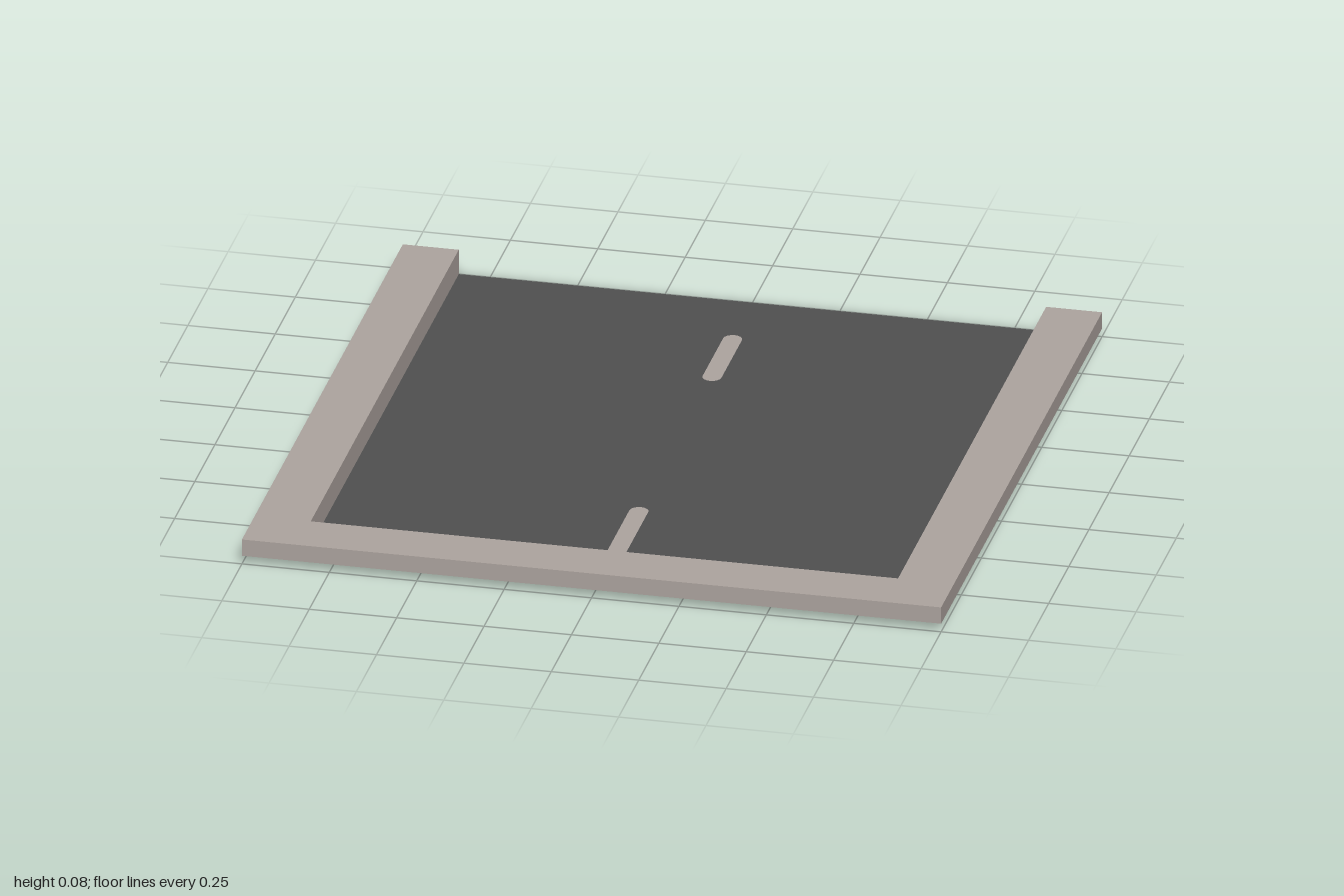
import * as THREE from 'three';

const INNER = 0.84, TOP = 0.075, LIP = 0.025;

// Flat horizontal sheet from a shape drawn in (x, -z)
function sheet(name, shape, y, material) {
  const geometry = new THREE.ShapeGeometry(shape, 4);
  geometry.rotateX(-Math.PI / 2);
  geometry.translate(0, y, 0);
  const mesh = new THREE.Mesh(geometry, material);
  mesh.name = name;
  return mesh;
}

// Vertical wall following a path of [x, z] points
function wall(name, path, y0, y1, material) {
  const positions = [];
  for (let i = 0; i < path.length - 1; i++) {
    const [ax, az] = path[i], [bx, bz] = path[i + 1];
    positions.push(ax, y0, az, bx, y0, bz, bx, y1, bz);
    positions.push(ax, y0, az, bx, y1, bz, ax, y1, az);
  }
  const geometry = new THREE.BufferGeometry();
  geometry.setAttribute('position', new THREE.Float32BufferAttribute(positions, 3));
  geometry.computeVertexNormals();
  const mesh = new THREE.Mesh(geometry, material);
  mesh.name = name;
  return mesh;
}

// Round-ended slot outline along z
function slot(PathType, zBack, zFront) {
  const r = 0.027;
  const path = new PathType();
  path.absarc(0, -zBack - r, r, 0, Math.PI, false);
  path.absarc(0, -zFront + r, r, Math.PI, Math.PI * 2, false);
  path.closePath();
  return path;
}

export function createModel() {
  const group = new THREE.Group();
  const kerbGrey = new THREE.MeshStandardMaterial({ color: 0xada49f, side: THREE.DoubleSide });
  kerbGrey.name = 'kerbGrey';
  const asphalt = new THREE.MeshStandardMaterial({ color: 0x505050, side: THREE.DoubleSide });
  asphalt.name = 'asphalt';

  // Road surface, open at the back, with the lane dashes let into it
  const road = new THREE.Shape([
    [-INNER, -INNER], [INNER, -INNER], [INNER, 1], [-INNER, 1],
  ].map(([x, y]) => new THREE.Vector2(x, y)));
  for (const [zBack, zFront] of [[-0.78, -0.47], [0.385, 0.728]]) {
    road.holes.push(slot(THREE.Path, zBack, zFront));
    group.add(sheet('laneDash', slot(THREE.Shape, zBack, zFront), 0, kerbGrey));
  }
  group.add(sheet('roadSurface', road, 0, asphalt));

  // Hollow U-shaped kerb: top, outer skirt with end caps, inner wall
  const kerb = new THREE.Group();
  kerb.name = 'kerb';
  const outline = new THREE.Shape([
    [-1, -1], [1, -1], [1, 1], [INNER, 1], [INNER, -INNER], [-INNER, -INNER], [-INNER, 1], [-1, 1],
  ].map(([x, y]) => new THREE.Vector2(x, y)));
  kerb.add(sheet('kerbTop', outline, TOP, kerbGrey));
  kerb.add(wall('kerbSkirt',
    [[-INNER, -1], [-1, -1], [-1, 1], [1, 1], [1, -1], [INNER, -1]], LIP, TOP, kerbGrey));
  kerb.add(wall('kerbInnerWall',
    [[INNER, -1], [INNER, INNER], [-INNER, INNER], [-INNER, -1]], 0, TOP, kerbGrey));
  group.add(kerb);

  return group;
}
